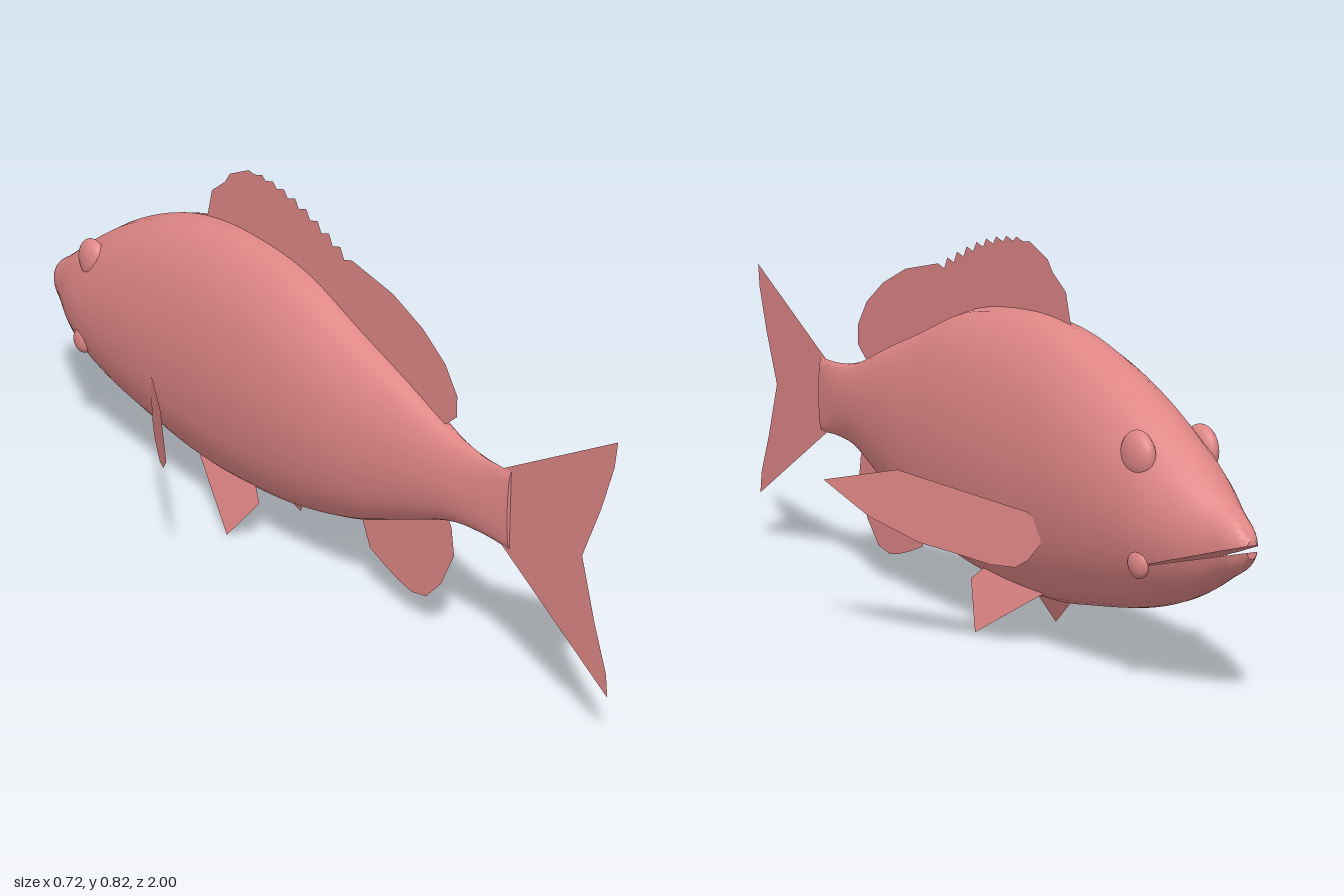
import * as THREE from 'three';
import { mergeGeometries, toCreasedNormals } from 'three/addons/utils/BufferGeometryUtils.js';

const skin = new THREE.MeshStandardMaterial({ color: 0xe08686, side: THREE.DoubleSide });
skin.name = 'salmon pink';

// Body stations from tail to nose: z, top, bottom, half width
const STATIONS = [
  [0.69, 0.47, 0.3, 0.008], [0.6, 0.468, 0.3, 0.022], [0.5, 0.483, 0.285, 0.041],
  [0.35, 0.537, 0.225, 0.07], [0.2, 0.587, 0.165, 0.098], [0, 0.655, 0.115, 0.119],
  [-0.2, 0.674, 0.094, 0.127], [-0.36, 0.662, 0.093, 0.127], [-0.5, 0.625, 0.11, 0.126],
  [-0.64, 0.565, 0.132, 0.119], [-0.75, 0.502, 0.16, 0.108], [-0.84, 0.443, 0.195, 0.086],
  [-0.92, 0.388, 0.237, 0.052], [-0.97, 0.357, 0.263, 0.033], [-1, 0.328, 0.29, 0.012],
];
const MOUTH_Z = -0.74;
const heights = new THREE.CatmullRomCurve3(
  STATIONS.map(([z, top, bottom]) => new THREE.Vector3(z, top, bottom)), false, 'catmullrom');
const widths = new THREE.CatmullRomCurve3(
  STATIONS.map(([z, , , w]) => new THREE.Vector3(z, w, 0)), false, 'catmullrom');

// One half of the body (above or below the mouth line), lofted from elliptical arcs
function halfBody(upper) {
  const rings = 56, n = upper ? 18 : 14;
  const positions = [], index = [];
  const mouth = [];
  for (let i = 0; i <= rings; i++) {
    const h = heights.getPoint(i / rings), w = widths.getPoint(i / rings).y;
    const open = Math.max(0, (MOUTH_Z - h.x) / (1 + MOUTH_Z));
    mouth.push(open > 0);
    const cy = (h.y + h.z) / 2, hh = (h.y - h.z) / 2;
    const lip = 0.24 + 0.073 * open + (upper ? 0.003 : -0.009) * open;
    const s = h.x > MOUTH_Z ? -0.5 : THREE.MathUtils.clamp((lip - cy) / hh, -0.95, 0.95);
    const split = Math.asin(s);
    const start = upper ? split : Math.PI - split;
    const end = upper ? Math.PI - split : 2 * Math.PI + split;
    for (let j = 0; j <= n; j++) {
      const a = start + (end - start) * j / n;
      positions.push(w * Math.cos(a), cy + hh * Math.sin(a), h.x);
    }
  }
  const row = n + 1;
  for (let i = 0; i < rings; i++) {
    // The flat inner face closes the jaw only where the mouth is open
    const count = mouth[i + 1] ? row : n;
    for (let j = 0; j < count; j++) {
      const k = (j + 1) % row;
      const a = i * row + j, b = i * row + k, c = b + row, d = a + row;
      index.push(a, d, c, a, c, b);
    }
  }
  const last = rings * row;
  for (let j = 1; j < n; j++) {
    index.push(0, j, j + 1);
    index.push(last, last + j + 1, last + j);
  }
  const g = new THREE.BufferGeometry();
  g.setAttribute('position', new THREE.Float32BufferAttribute(positions, 3));
  g.setIndex(index);
  return g;
}

// Thin fin outlined in (z, y); xAt gives the sideways position of each point
function fin(name, outline, xAt = () => 0) {
  const shape = new THREE.Shape(outline.map(([z, y]) => new THREE.Vector2(z, y)));
  const g = new THREE.ShapeGeometry(shape);
  const p = g.attributes.position;
  for (let i = 0; i < p.count; i++) {
    const z = p.getX(i), y = p.getY(i);
    p.setXYZ(i, xAt(z, y), y, z);
  }
  g.computeVertexNormals();
  const mesh = new THREE.Mesh(g, skin);
  mesh.name = name;
  return mesh;
}

function ellipsoid(name, position, scale) {
  const mesh = new THREE.Mesh(new THREE.SphereGeometry(1, 24, 16), skin);
  mesh.name = name;
  mesh.position.set(...position);
  mesh.scale.set(...scale);
  return mesh;
}

export function createModel() {
  const model = new THREE.Group();
  model.name = 'fish';

  const bodyGeometry = toCreasedNormals(mergeGeometries([halfBody(true), halfBody(false)]), 0.8);
  const body = new THREE.Mesh(bodyGeometry, skin);
  body.name = 'body';
  model.add(body);

  // Forked tail
  model.add(fin('tailFin', [
    [0.66, 0.465], [1, 0.655], [0.993, 0.6], [0.96, 0.5], [0.91, 0.38],
    [0.955, 0.25], [0.993, 0.16], [1, 0.11], [0.66, 0.303],
  ]));

  // Back fin: soft rounded rear, then a row of spines rising towards the head
  const spines = [];
  for (let i = 0; i < 9; i++) {
    const t = i / 9, z = 0.16 - 0.36 * t, y = 0.735 + 0.085 * Math.sin(t * Math.PI * 0.56);
    spines.push([z, y], [z - 0.027, y - 0.008]);
  }
  model.add(fin('dorsalFin', [
    [0.46, 0.48], [0.485, 0.495], [0.515, 0.52], [0.515, 0.565], [0.475, 0.62], [0.4, 0.67],
    [0.3, 0.71], ...spines, [-0.21, 0.815], [-0.28, 0.785], [-0.3, 0.76], [-0.35, 0.725],
    [-0.375, 0.64], [-0.1, 0.62], [0.2, 0.55],
  ]));

  // Belly fin near the tail
  model.add(fin('analFin', [
    [0.485, 0.3], [0.505, 0.27], [0.515, 0.21], [0.475, 0.13], [0.425, 0.078], [0.375, 0.067],
    [0.33, 0.075], [0.285, 0.088], [0.23, 0.108], [0.2, 0.17], [0.22, 0.22], [0.35, 0.27],
  ]));

  for (const side of [1, -1]) {
    const label = side > 0 ? 'left' : 'right';
    // Side fins swept outwards to the rear
    model.add(fin(label + 'PectoralFin', [
      [0.01, 0.322], [-0.145, 0.358], [-0.41, 0.298], [-0.435, 0.27], [-0.435, 0.235],
      [-0.41, 0.2], [-0.385, 0.183], [-0.335, 0.183], [-0.265, 0.198], [-0.19, 0.212], [-0.085, 0.255],
    ], z => side * (0.12 + (z + 0.42) * 0.56)));

    // Small fins under the belly
    model.add(fin(label + 'PelvicFin', [
      [-0.085, 0.1], [-0.16, 0.003], [-0.34, 0.11], [-0.32, 0.13], [-0.12, 0.13],
    ], (z, y) => side * (0.1 - y * 0.4 + (z + 0.16) * 0.05)));

    model.add(ellipsoid(label + 'Eye', [side * 0.073, 0.453, -0.725], [0.025, 0.05, 0.05]));
    model.add(ellipsoid(label + 'MouthCorner', [side * 0.09, 0.25, -0.755], [0.016, 0.03, 0.03]));
  }
  return model;
}
